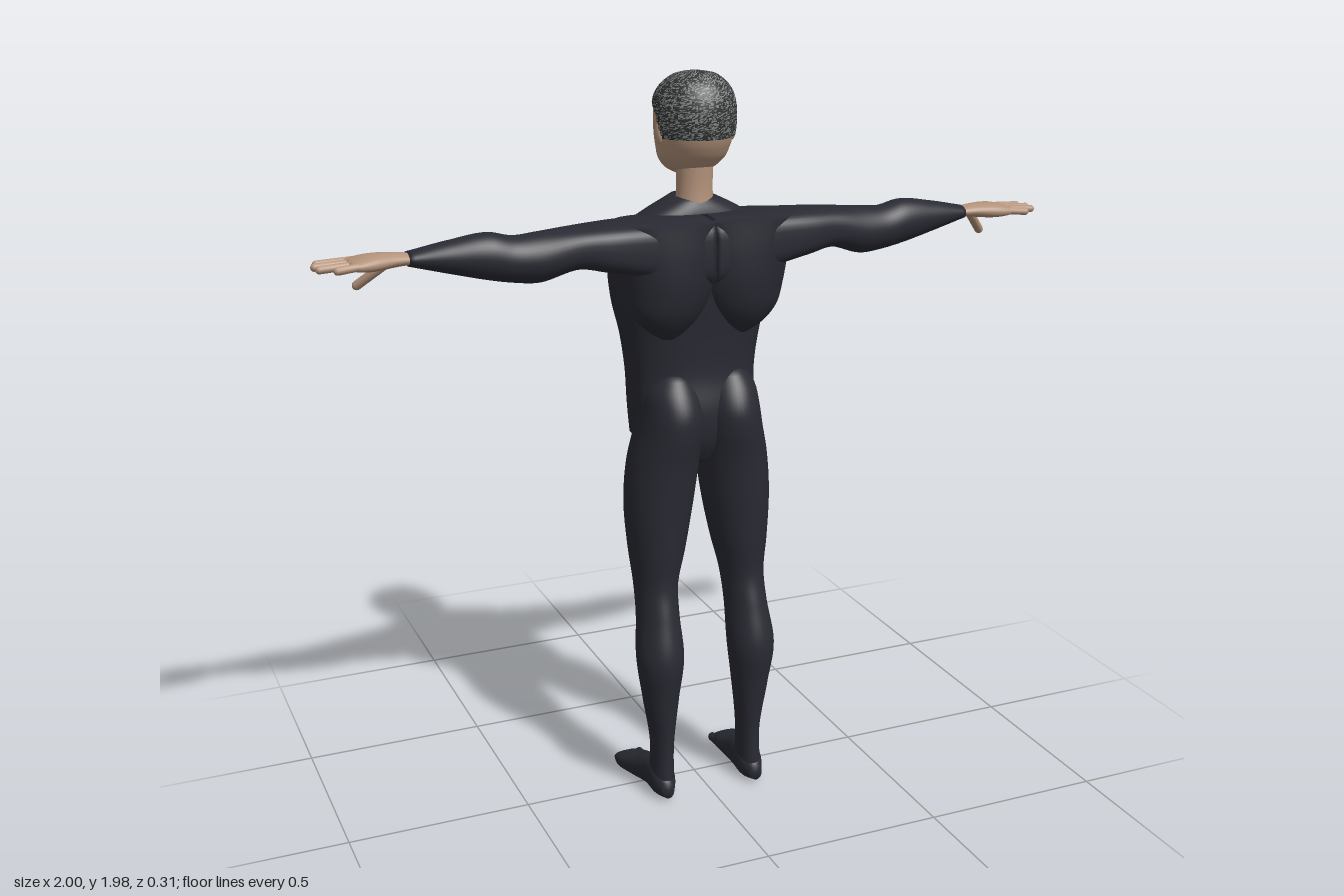
import * as THREE from 'three';

const mat = (name, color) => Object.assign(new THREE.MeshStandardMaterial({ color }), { name });

// Smooth closed skin through sections [t, a0, a1, b0, b1, n]:
// t along y, a = x limits, b = z limits, n = roundness (2 ellipse, more is boxier)
function loft(sections, rings = 40, segs = 40) {
  const rows = sections.map(s => [s[1], s[2], s[3], s[4], s[5] ?? 2]);
  const curve = new THREE.CubicInterpolant(sections.map(s => s[0]), rows.flat(), 5, new Array(5));
  const t0 = sections[0][0], t1 = sections[sections.length - 1][0];
  const pos = [], index = [];
  for (let i = 0; i <= rings; i++) {
    const t = t0 + (t1 - t0) * i / rings;
    const [a0, a1, b0, b1, n] = curve.evaluate(t);
    for (let j = 0; j < segs; j++) {
      const th = j / segs * Math.PI * 2, c = Math.cos(th), s = Math.sin(th);
      const u = Math.sign(c) * Math.abs(c) ** (2 / n), v = Math.sign(s) * Math.abs(s) ** (2 / n);
      pos.push((a0 + a1) / 2 + u * (a1 - a0) / 2, t, (b0 + b1) / 2 + v * (b1 - b0) / 2);
    }
  }
  const at = (i, j) => i * segs + j % segs;
  const lo = (rings + 1) * segs, hi = lo + 1;
  const first = rows[0], last = rows[rows.length - 1];
  pos.push((first[0] + first[1]) / 2, t0, (first[2] + first[3]) / 2);
  pos.push((last[0] + last[1]) / 2, t1, (last[2] + last[3]) / 2);
  for (let j = 0; j < segs; j++) {
    for (let i = 0; i < rings; i++) {
      index.push(at(i, j), at(i + 1, j), at(i, j + 1), at(i + 1, j), at(i + 1, j + 1), at(i, j + 1));
    }
    index.push(lo, at(0, j), at(0, j + 1), hi, at(rings, j + 1), at(rings, j));
  }
  const g = new THREE.BufferGeometry();
  g.setAttribute('position', new THREE.Float32BufferAttribute(pos, 3));
  g.setIndex(index);
  g.computeVertexNormals();
  return g;
}

// Loft along x from [x, top, bottom, z0, z1, n]
const loftX = (s, r, k) =>
  loft(s.map(([x, top, bot, z0, z1, n]) => [x, -top, -bot, z0, z1, n]), r, k).rotateZ(-Math.PI / 2);
// Loft along z from [z, x0, x1, top, bottom, n]
const loftZ = (s, r, k) =>
  loft(s.map(([z, x0, x1, top, bot, n]) => [z, x0, x1, -top, -bot, n]), r, k).rotateX(Math.PI / 2);

// Capsule between two points
function digit(p, q, r) {
  const a = new THREE.Vector3(...p), b = new THREE.Vector3(...q), d = b.clone().sub(a);
  const turn = new THREE.Quaternion().setFromUnitVectors(new THREE.Vector3(0, 1, 0), d.clone().normalize());
  const mid = a.add(b).multiplyScalar(0.5);
  return new THREE.CapsuleGeometry(r, d.length(), 5, 12).applyQuaternion(turn).translate(mid.x, mid.y, mid.z);
}

// Copy a geometry to the other side of the body, keeping its faces outward
function mirrored(geometry) {
  const g = geometry.clone().scale(-1, 1, 1), ix = g.index.array;
  for (let i = 0; i < ix.length; i += 3) [ix[i], ix[i + 1]] = [ix[i + 1], ix[i]];
  g.computeVertexNormals();
  return g;
}

// Head with nose, brow, eye sockets, lips and chin pushed out of the face
function headGeometry() {
  const g = loft([
    [1.715, -0.025, 0.025, -0.1, -0.03], [1.73, -0.055, 0.055, -0.11, 0.025],
    [1.76, -0.085, 0.085, -0.105, 0.065], [1.79, -0.095, 0.095, -0.106, 0.087],
    [1.82, -0.101, 0.101, -0.107, 0.1], [1.86, -0.104, 0.104, -0.107, 0.107],
    [1.9, -0.102, 0.102, -0.106, 0.106], [1.935, -0.09, 0.09, -0.092, 0.095],
    [1.96, -0.066, 0.066, -0.062, 0.073], [1.972, -0.042, 0.042, -0.036, 0.05],
    [1.977, -0.012, 0.012, -0.005, 0.02]], 80, 96);
  const bell = (v, c, s) => Math.exp(-(((v - c) / s) ** 2));
  const p = g.attributes.position;
  for (let i = 0; i < p.count; i++) {
    const x = p.getX(i), y = p.getY(i), z = p.getZ(i);
    if (z > -0.03) continue;
    const ridge = y < 1.83 ? bell(y, 1.83, 0.012) : Math.max(0, (1.915 - y) / 0.085);
    const push = 0.042 * bell(x, 0, 0.016) * ridge
      - 0.012 * bell(Math.abs(x), 0.036, 0.018) * bell(y, 1.88, 0.012)
      + 0.005 * bell(x, 0, 0.07) * bell(y, 1.905, 0.01)
      + 0.01 * bell(x, 0, 0.026) * (bell(y, 1.793, 0.006) + bell(y, 1.778, 0.006))
      + 0.006 * bell(x, 0, 0.03) * bell(y, 1.735, 0.015);
    p.setZ(i, z - push);
  }
  g.computeVertexNormals();
  return g;
}

// Short speckled hair: head faces above the hairline, lifted and split into two tones
function hairGeometry(head) {
  const p = head.attributes.position, n = head.attributes.normal, ix = head.index.array;
  const hairline = z => z > 0.03 ? 1.82
    : z > 0.01 ? THREE.MathUtils.mapLinear(z, 0.03, 0.01, 1.82, 1.88)
      : THREE.MathUtils.mapLinear(z, 0.01, -0.1, 1.88, 1.94);
  let seed = 7;
  const random = () => (seed = (seed * 16807) % 2147483647) / 2147483647;
  const tones = [{ pos: [], nor: [] }, { pos: [], nor: [] }];
  for (let i = 0; i < ix.length; i += 3) {
    const tri = [ix[i], ix[i + 1], ix[i + 2]];
    const y = tri.reduce((s, v) => s + p.getY(v) / 3, 0), z = tri.reduce((s, v) => s + p.getZ(v) / 3, 0);
    if (y < hairline(z)) continue;
    const tone = tones[random() < 0.4 ? 1 : 0];
    for (const v of tri) {
      const m = [n.getX(v), n.getY(v), n.getZ(v)];
      tone.pos.push(p.getX(v) + m[0] * 0.005, p.getY(v) + m[1] * 0.005, p.getZ(v) + m[2] * 0.005);
      tone.nor.push(...m);
    }
  }
  const g = new THREE.BufferGeometry();
  g.setAttribute('position', new THREE.Float32BufferAttribute(tones[0].pos.concat(tones[1].pos), 3));
  g.setAttribute('normal', new THREE.Float32BufferAttribute(tones[0].nor.concat(tones[1].nor), 3));
  g.addGroup(0, tones[0].pos.length / 3, 0);
  g.addGroup(tones[0].pos.length / 3, tones[1].pos.length / 3, 1);
  return g;
}

export function createModel() {
  const suit = mat('suit', 0x292a33), skin = mat('skin', 0xb5947c);
  const hair = [mat('darkHair', 0x303332), mat('greyHair', 0x808482)];
  hair.forEach(m => { m.side = THREE.DoubleSide; });
  const model = new THREE.Group();
  model.name = 'figure';
  const add = (name, geometry, material) => {
    const mesh = new THREE.Mesh(geometry, material);
    mesh.name = name;
    model.add(mesh);
  };
  const pair = (name, geometry, material) => {
    add(name + 'Right', geometry, material);
    add(name + 'Left', mirrored(geometry), material);
  };

  // Head
  const head = headGeometry();
  add('head', head, skin);
  add('hair', hairGeometry(head), hair);
  add('neck', loft([[1.6, -0.055, 0.055, -0.05, 0.05], [1.68, -0.048, 0.048, -0.04, 0.045],
    [1.77, -0.05, 0.05, -0.045, 0.05]], 12, 32), skin);
  pair('ear', new THREE.SphereGeometry(1, 16, 12).scale(0.01, 0.028, 0.016).translate(0.1, 1.83, 0.01), skin);

  // Torso and the shirt front that hangs over it
  add('torso', loft([
    [0.96, -0.05, 0.05, -0.05, 0.07], [1.02, -0.14, 0.14, -0.08, 0.1],
    [1.1, -0.163, 0.163, -0.09, 0.11], [1.2, -0.17, 0.17, -0.1, 0.097],
    [1.3, -0.184, 0.184, -0.1, 0.1], [1.4, -0.208, 0.208, -0.1, 0.11],
    [1.5, -0.215, 0.215, -0.1, 0.12], [1.615, -0.19, 0.19, -0.08, 0.13]], 50, 56), suit);
  add('shirtFront', loft([
    [1.02, -0.155, 0.155, -0.137, 0, 2.5], [1.1, -0.164, 0.164, -0.145, 0.03, 2.5],
    [1.2, -0.171, 0.171, -0.149, 0.05, 2.5], [1.3, -0.186, 0.186, -0.152, 0.06, 2.5],
    [1.4, -0.21, 0.21, -0.151, 0.06, 2.5], [1.5, -0.219, 0.219, -0.135, 0.06, 2.5],
    [1.58, -0.197, 0.197, -0.112, 0.06, 2.4], [1.63, -0.125, 0.125, -0.094, 0.055, 2.2],
    [1.665, -0.055, 0.055, -0.078, 0.04, 2]], 56, 64), suit);
  pair('shoulderBlade', loft([
    [1.31, 0.08, 0.12, 0.06, 0.085], [1.335, 0.05, 0.16, 0.035, 0.11],
    [1.38, 0.01, 0.2, 0, 0.138], [1.44, -0.02, 0.218, -0.02, 0.154],
    [1.52, -0.03, 0.228, -0.03, 0.158, 2.4], [1.62, -0.03, 0.235, -0.03, 0.153, 3]], 36, 40), suit);

  // Arms, with a flat shoulder line
  pair('arm', loftX([
    [0, 1.625, 1.45, -0.03, 0.15, 4], [0.2, 1.625, 1.49, -0.035, 0.152, 3.6],
    [0.28, 1.625, 1.505, -0.02, 0.148, 3], [0.35, 1.622, 1.517, -0.008, 0.138, 2.6],
    [0.45, 1.616, 1.49, 0, 0.129], [0.51, 1.612, 1.495, 0.006, 0.122],
    [0.57, 1.625, 1.506, 0.01, 0.118], [0.67, 1.612, 1.53, 0.016, 0.102],
    [0.77, 1.591, 1.555, 0.017, 0.081]], 64, 40), suit);

  // Hands
  pair('palm', loftX([
    [0.75, 1.585, 1.56, 0.026, 0.073], [0.8, 1.592, 1.557, 0.016, 0.084],
    [0.86, 1.592, 1.553, 0.002, 0.1, 2.5], [0.9, 1.585, 1.557, -0.002, 0.102, 2.6],
    [0.915, 1.58, 1.562, 0.002, 0.098, 2.6]], 20, 28), skin);
  const fingers = [[0.009, 0.98, 0.003], [0.036, 0.99, 0.034], [0.063, 0.985, 0.067], [0.09, 0.948, 0.097]];
  fingers.forEach(([z0, tip, z1], i) =>
    pair('finger' + (i + 1), digit([0.89, 1.573, z0], [tip, 1.568, z1], 0.01), skin));
  pair('thumb', digit([0.815, 1.562, 0.026], [0.88, 1.502, -0.026], 0.012), skin);

  // Legs
  pair('leg', loft([
    [0.04, 0.1, 0.165, 0.02, 0.13], [0.15, 0.1, 0.161, 0.03, 0.126],
    [0.3, 0.085, 0.184, 0.02, 0.141], [0.42, 0.071, 0.2, 0.008, 0.155],
    [0.54, 0.074, 0.188, -0.022, 0.128], [0.62, 0.069, 0.187, -0.045, 0.109],
    [0.72, 0.045, 0.198, -0.066, 0.114], [0.85, 0.02, 0.205, -0.085, 0.122],
    [0.97, 0.004, 0.194, -0.09, 0.131], [1.05, -0.002, 0.175, -0.085, 0.143],
    [1.11, 0, 0.163, -0.07, 0.142], [1.17, 0.015, 0.15, -0.05, 0.116],
    [1.21, 0.04, 0.12, -0.02, 0.085]], 80, 44), suit);

  // Feet
  pair('foot', loftZ([
    [-0.13, 0.115, 0.195, 0.032, 0.003, 2.6], [-0.09, 0.103, 0.202, 0.047, 0, 2.6],
    [-0.03, 0.1, 0.19, 0.07, 0, 2.4], [0.03, 0.099, 0.172, 0.095, 0, 2.3],
    [0.1, 0.1, 0.166, 0.085, 0, 2.3], [0.137, 0.118, 0.15, 0.05, 0.008]], 30, 32), suit);
  for (let i = 0; i < 5; i++) {
    const x = 0.117 + i * 0.018, tip = -0.134 + i * 0.007, r = i ? 0.01 : 0.013;
    pair('toe' + (i + 1), digit([x, 0.018, -0.1], [x, 0.015, tip], r), suit);
  }
  return model;
}
